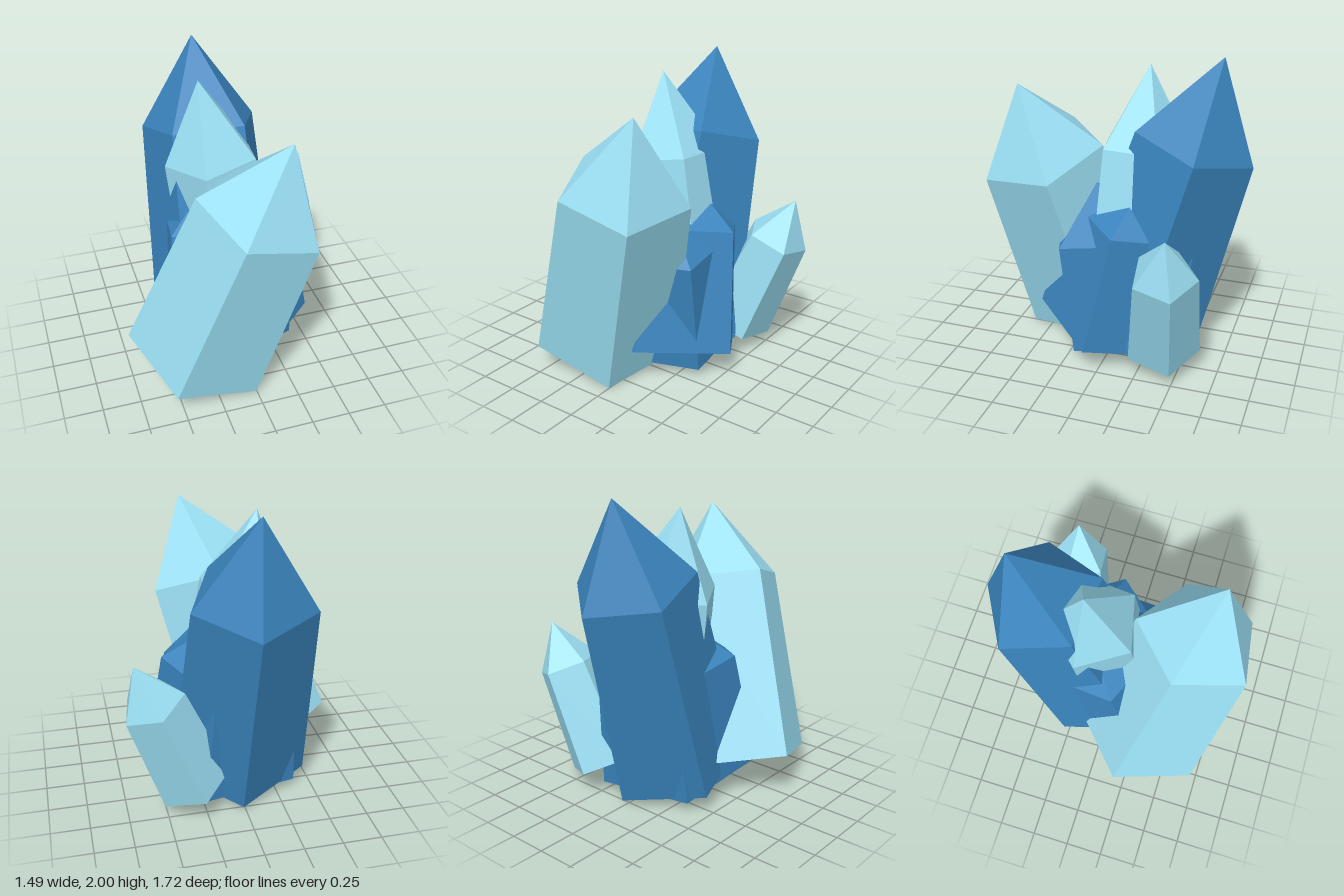
import * as THREE from 'three';

const SIDES = 5;
const SHOULDER = 0.7; // share of the length where the tip begins

const light = new THREE.MeshStandardMaterial({ color: 0x9be0f5, flatShading: true });
const dark = new THREE.MeshStandardMaterial({ color: 0x3a84bd, flatShading: true });

// Five-sided crystal from base centre to tip; "corner" is the direction of one vertical edge.
function crystal(name, material, base, tip, baseRadius, shoulderRadius, corner) {
  const from = new THREE.Vector3(...base);
  const axis = new THREE.Vector3(...tip).sub(from);
  const length = axis.length();
  axis.normalize();

  const profile = [
    new THREE.Vector2(0, 0),
    new THREE.Vector2(baseRadius, 0),
    new THREE.Vector2(shoulderRadius, SHOULDER * length),
    new THREE.Vector2(0, length),
  ];
  const geometry = new THREE.LatheGeometry(profile, SIDES).toNonIndexed();
  geometry.computeVertexNormals();

  // Lean the crystal along its axis and turn one edge toward the corner direction
  const edge = new THREE.Vector3(...corner).projectOnPlane(axis).normalize();
  const side = new THREE.Vector3().crossVectors(axis, edge);
  const mesh = new THREE.Mesh(geometry, material);
  mesh.name = name;
  mesh.quaternion.setFromRotationMatrix(new THREE.Matrix4().makeBasis(side, axis, edge));
  mesh.position.copy(from);
  return mesh;
}

export function createModel() {
  const group = new THREE.Group();
  group.name = 'crystalCluster';
  group.add(
    // Three tall crystals
    crystal('frontCrystal', light, [-0.3, 0.157, 0.284], [0.2, 1.8, 0.6], 0.485, 0.412, [-0.21, 0, 0.354]),
    crystal('backCrystal', dark, [-0.03, 0.16, -0.095], [-0.05, 2, -0.645], 0.47, 0.4, [0.04, -0.106, -0.387]),
    crystal('middleCrystal', light, [0.12, 0.15, -0.12], [-0.145, 1.9, -0.16], 0.36, 0.31, [-0.11, 0, 0.26]),
    // Short crystals filling the right side and foot
    crystal('wideShortCrystal', dark, [0.02, 0.145, 0.005], [-0.01, 1.25, -0.21], 0.54, 0.46, [0.98, 0.05, 0.12]),
    crystal('innerShortCrystal', dark, [0.03, 0.12, -0.06], [0.09, 1.16, 0.12], 0.445, 0.38, [0.3, -0.05, 0.21]),
    crystal('sideCrystal', light, [0.313, 0.173, -0.39], [0.68, 1.09, -0.49], 0.247, 0.21, [0.17, -0.085, -0.085]),
  );
  return group;
}
